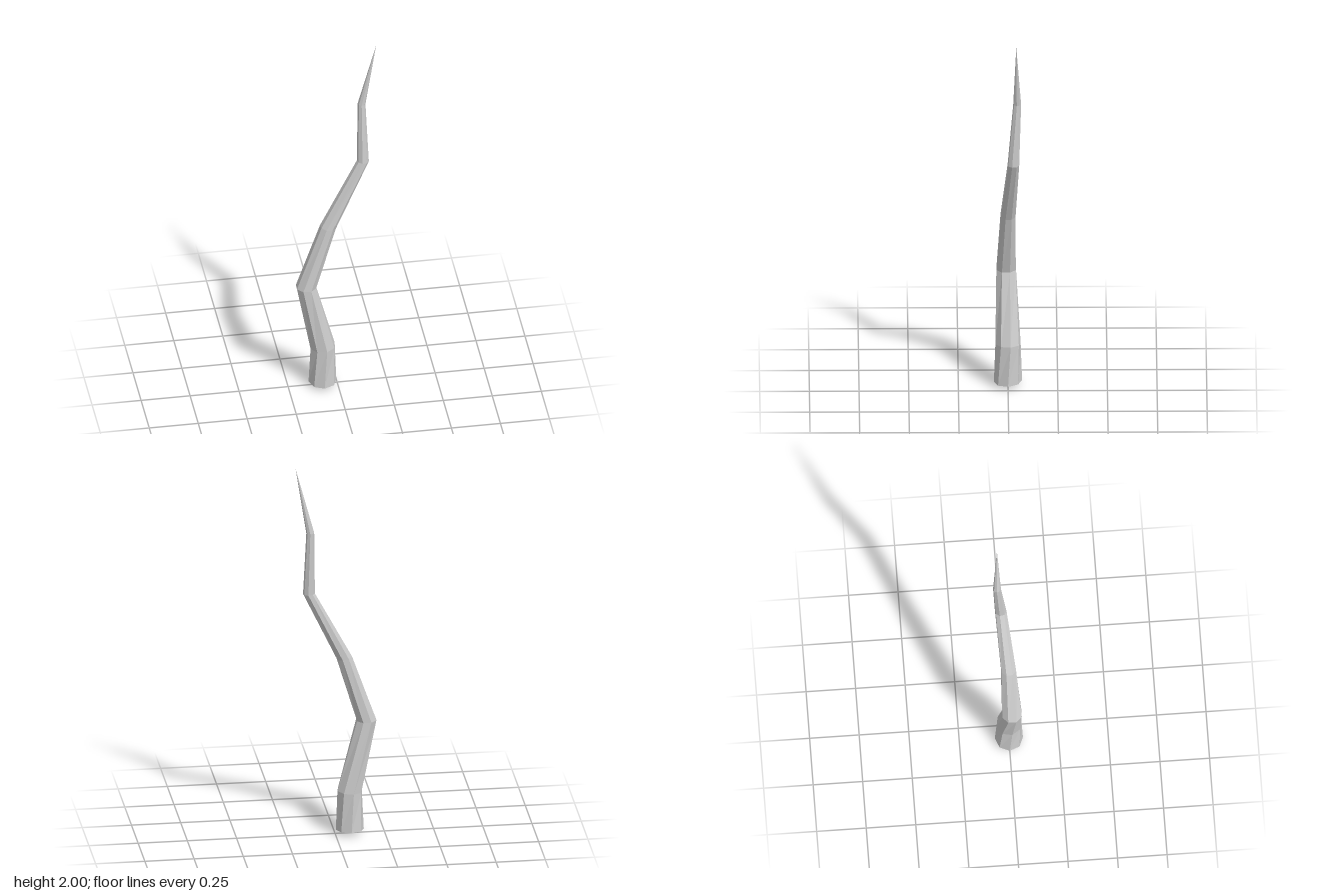
import * as THREE from 'three';

const SIDES = 8;

// Cross-sections from base to tip: x, y, z, radius, twist in degrees
const RINGS = [
  [-0.075, 0.02, 0.0, 0.071, 22.5],
  [-0.074, 0.23, 0.0, 0.065, 11],
  [-0.16, 0.605, 0.009, 0.053, 1],
  [-0.047, 0.95, 0.0, 0.04, -4],
  [0.136, 1.315, -0.026, 0.03, -10],
  [0.132, 1.65, -0.045, 0.02, -16],
];
const BASE = [-0.075, 0, 0];
const TIP = [0.206, 2, -0.04];
const TILT = [[0, 0.06], [0.06, 0], [-0.02, 0], [-0.2, 0], [-0.08, 0], [-0.08, 0]]; // height slope along x, z

export function createModel() {
  const group = new THREE.Group();
  const positions = [];
  const index = [];

  // Octagonal rings
  RINGS.forEach(([x, y, z, r, twist], k) => {
    for (let i = 0; i < SIDES; i++) {
      const a = ((i + 0.5) * 2 * Math.PI) / SIDES + THREE.MathUtils.degToRad(twist);
      const dx = r * Math.cos(a);
      const dz = r * Math.sin(a);
      positions.push(x + dx, y + TILT[k][0] * dx - TILT[k][1] * dz, z + dz);
    }
  });
  const base = RINGS.length * SIDES;
  const tip = base + 1;
  positions.push(...BASE, ...TIP);

  // Side walls, shallow base cap and pointed tip
  const last = (RINGS.length - 1) * SIDES;
  for (let i = 0; i < SIDES; i++) {
    const j = (i + 1) % SIDES;
    for (let k = 0; k < RINGS.length - 1; k++) {
      const a = k * SIDES + i;
      const b = k * SIDES + j;
      index.push(a, a + SIDES, b, b, a + SIDES, b + SIDES);
    }
    index.push(base, i, j);
    index.push(last + i, tip, last + j);
  }

  const geometry = new THREE.BufferGeometry();
  geometry.setAttribute('position', new THREE.Float32BufferAttribute(positions, 3));
  geometry.setIndex(index);
  const faceted = geometry.toNonIndexed();
  faceted.computeVertexNormals();

  const horn = new THREE.Mesh(
    faceted,
    new THREE.MeshStandardMaterial({ color: 0xcccccc, flatShading: true })
  );
  horn.name = 'twistedHorn';
  group.add(horn);
  return group;
}
